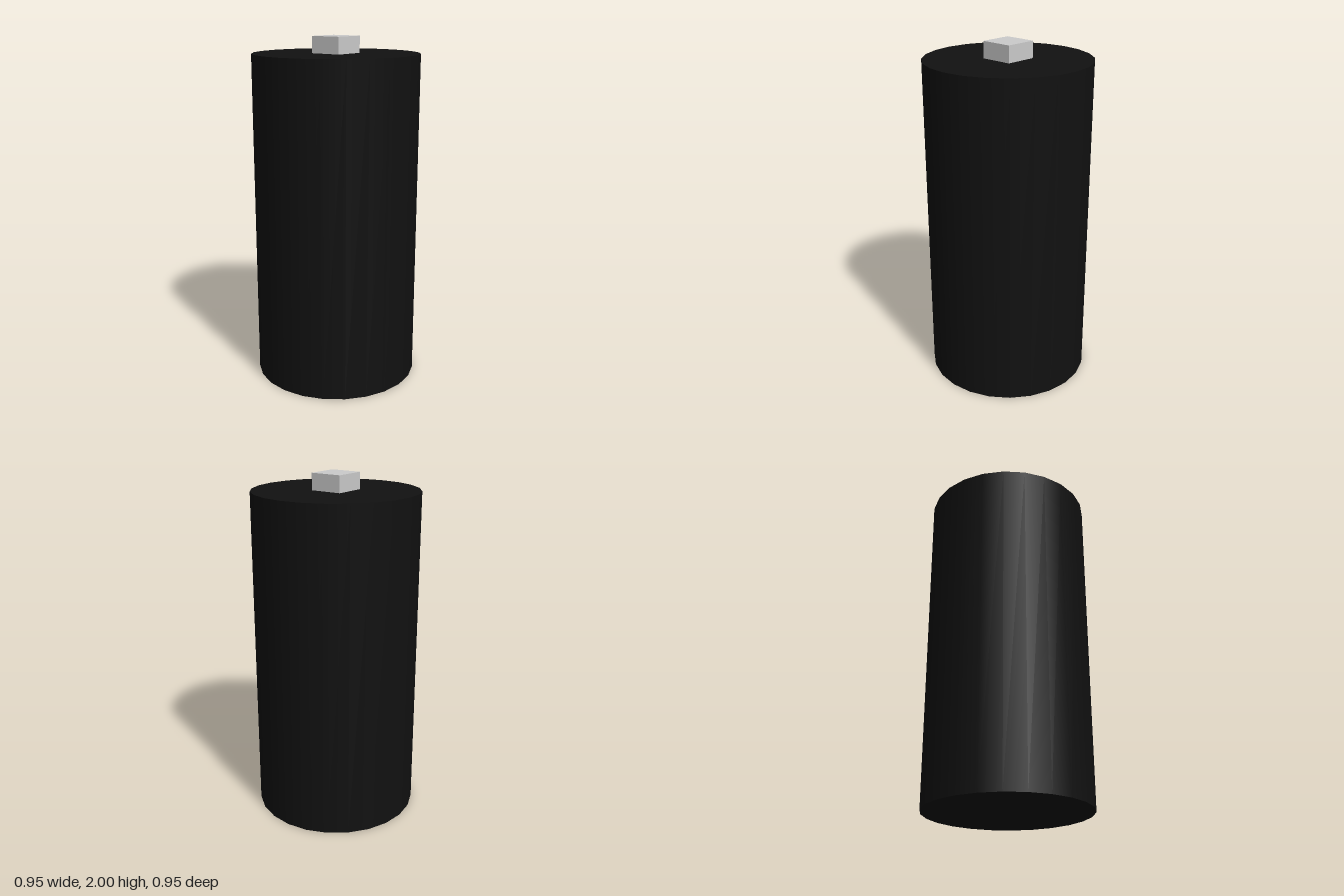
import * as THREE from 'three';

export function createModel() {
  const model = new THREE.Group();
  const radius = 0.476, bodyHeight = 1.905, capSize = 0.19;

  // Dark 24-sided cylinder, smooth around the side with sharp rims
  const body = new THREE.Mesh(
    new THREE.CylinderGeometry(radius, radius, bodyHeight, 24),
    new THREE.MeshStandardMaterial({ color: 0x111111 })
  );
  body.name = 'body';
  body.position.y = bodyHeight / 2;

  // Square cap block, half sunk into the top of the body
  const cap = new THREE.Mesh(
    new THREE.BoxGeometry(capSize, capSize, capSize),
    new THREE.MeshStandardMaterial({ color: 0xcccccc })
  );
  cap.name = 'topCap';
  cap.position.y = bodyHeight;

  model.add(body, cap);
  return model;
}
